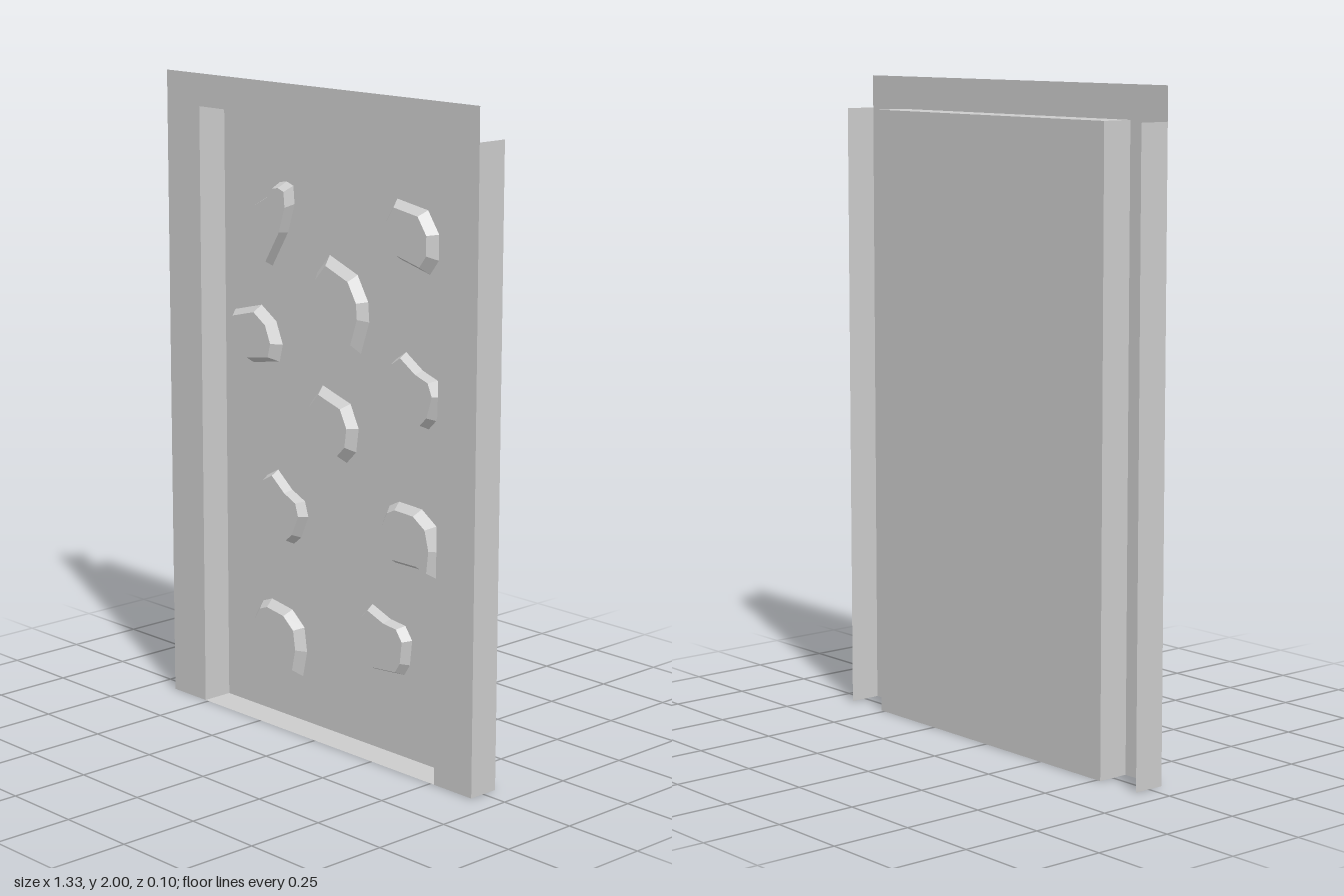
import * as THREE from 'three';

const W = 0.665, H = 2;            // half width and height of the front frame
const w = 0.514, h = 1.9;          // half width and height of the recess
const Z = 0.05;                    // half depth
const HOLD_DEPTH = 0.03;

// Hold outlines in hundredths of a unit, clockwise around their centre
const outlines = {
  leaf: [[6, 14], [9, 13], [9.5, 7.5], [6.5, -1.5], [-0.5, -12.5], [-5, -10.5], [-8.5, -7.5], [-9, -0.5], [-7, 6], [1, 10.5], [3, 13.5]],
  round: [[-6.5, 10], [6, 8], [10.5, 1.5], [10.5, -6], [7, -10.5], [-5, -7.5], [-10, -3], [-11, 3]],
  drop: [[-6, 14], [6, 9.5], [10.5, 2], [11, -4], [7.5, -14], [-2.5, -6], [-10.5, 1.5], [-11.5, 8]],
  notched: [[-4, 10.5], [3, 6], [9, 4], [11, -0.5], [8.5, -8], [5.5, -11], [-6.5, -9.5], [-11, -5], [-11, 1], [-8.5, 7.5]],
  dome: [[-5.5, 10], [4, 9.5], [10, 5.5], [12, -2], [11, -10.5], [5.5, -9], [-7, -9], [-11.5, -4], [-12, 3], [-9.5, 8]],
};

// Outline, size of the top face, x, y and turn in degrees
const holds = [
  ['leaf', 0.87, -0.29, 1.55, 0],
  ['round', 0.79, 0.31, 1.59, 0],
  ['drop', 0.8, 0.02, 1.35, 0],
  ['round', 0.79, -0.37, 1.2, 23],
  ['notched', 0.87, 0.325, 1.14, 0],
  ['round', 0.79, -0.02, 0.98, -8],
  ['notched', 0.87, -0.245, 0.68, -6],
  ['dome', 0.81, 0.315, 0.69, 0],
  ['dome', 0.81, -0.26, 0.26, -6],
  ['notched', 0.87, 0.21, 0.355, 12],
];

// Bevelled stone: sloped sides up to a smaller flat top
function holdGeometry(points, topScale) {
  const base = points.map(([x, y]) => new THREE.Vector2(x / 100, y / 100));
  const top = base.map((p) => p.clone().multiplyScalar(topScale));
  const pos = [];
  base.forEach((a, i) => {
    const j = (i + 1) % base.length;
    const a0 = [a.x, a.y, 0], b0 = [base[j].x, base[j].y, 0];
    const a1 = [top[i].x, top[i].y, HOLD_DEPTH], b1 = [top[j].x, top[j].y, HOLD_DEPTH];
    pos.push(...b0, ...a0, ...a1, ...b0, ...a1, ...b1);
  });
  const cap = new THREE.ShapeGeometry(new THREE.Shape(top)).toNonIndexed().getAttribute('position');
  for (let i = 0; i < cap.count; i++) pos.push(cap.getX(i), cap.getY(i), HOLD_DEPTH);
  const geo = new THREE.BufferGeometry();
  geo.setAttribute('position', new THREE.Float32BufferAttribute(pos, 3));
  geo.computeVertexNormals();
  return geo;
}

export function createModel() {
  const group = new THREE.Group();
  const sheet = new THREE.MeshStandardMaterial({ color: 0xcccccc, side: THREE.DoubleSide });
  const stone = new THREE.MeshStandardMaterial({ color: 0xcccccc, flatShading: true });

  const add = (name, geo, x, y, z, material = sheet) => {
    const mesh = new THREE.Mesh(geo, material);
    mesh.name = name;
    mesh.position.set(x, y, z);
    group.add(mesh);
    return mesh;
  };

  // Front frame: a thin sheet around the recess, open at the bottom
  const frame = new THREE.Shape([[-W, 0], [-w, 0], [-w, h], [w, h], [w, 0], [W, 0], [W, H], [-W, H]]
    .map(([x, y]) => new THREE.Vector2(x, y)));
  add('frontFrame', new THREE.ShapeGeometry(frame), 0, 0, Z);

  // Recess: back panel, top and bottom
  add('backPanel', new THREE.PlaneGeometry(2 * w, h), 0, h / 2, -Z);
  add('recessTop', new THREE.PlaneGeometry(2 * w, 2 * Z).rotateX(-Math.PI / 2), 0, h, 0);
  add('recessBottom', new THREE.PlaneGeometry(2 * w, 2 * Z).rotateX(Math.PI / 2), 0, 0, 0);

  // Recess sides and the flanges folded back from the frame edges
  for (const [side, s] of [['left', 1], ['right', -1]]) {
    const wall = new THREE.PlaneGeometry(2 * Z, h).rotateY(s * Math.PI / 2);
    add(side + 'RecessWall', wall, s * w, h / 2, 0);
    add(side + 'Flange', wall, s * W, h / 2, 0);
  }

  // Climbing holds on the back panel
  holds.forEach(([shape, topScale, x, y, turn], i) => {
    const hold = add('hold' + (i + 1), holdGeometry(outlines[shape], topScale), x, y, -Z, stone);
    hold.rotation.z = THREE.MathUtils.degToRad(turn);
  });

  return group;
}
